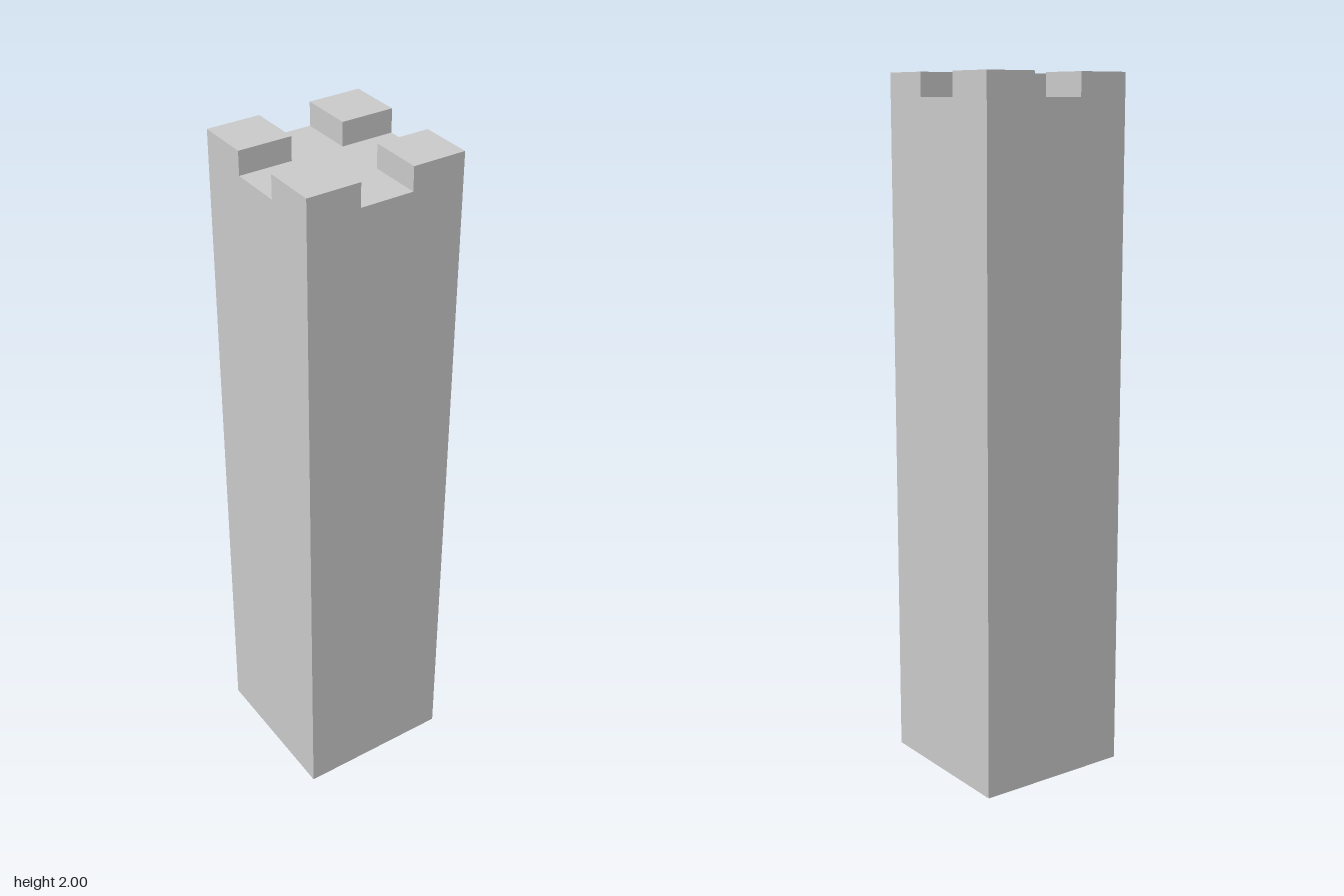
import * as THREE from 'three';

const WIDTH = 0.462;          // square plan of the tower
const MERLON = WIDTH / 3;     // corner blocks take a third of each side
const HEIGHT = 2;
const FLOOR = 1.933;          // level of the roof between the corner blocks

export function createModel() {
  const tower = new THREE.Group();
  tower.name = 'tower';
  const stone = new THREE.MeshStandardMaterial({ color: 0xcccccc, flatShading: true });

  // Box standing on a given level
  const addBlock = (name, width, bottom, top, x = 0, z = 0) => {
    const mesh = new THREE.Mesh(new THREE.BoxGeometry(width, top - bottom, width), stone);
    mesh.name = name;
    mesh.position.set(x, (bottom + top) / 2, z);
    tower.add(mesh);
  };

  // Plain square shaft
  addBlock('shaft', WIDTH, 0, FLOOR);

  // One merlon on each corner of the roof
  for (const [sideX, x] of [['Left', 1], ['Right', -1]]) {
    for (const [sideZ, z] of [['front', 1], ['back', -1]]) {
      addBlock(`${sideZ}${sideX}Merlon`, MERLON, FLOOR, HEIGHT, x * MERLON, z * MERLON);
    }
  }
  return tower;
}
